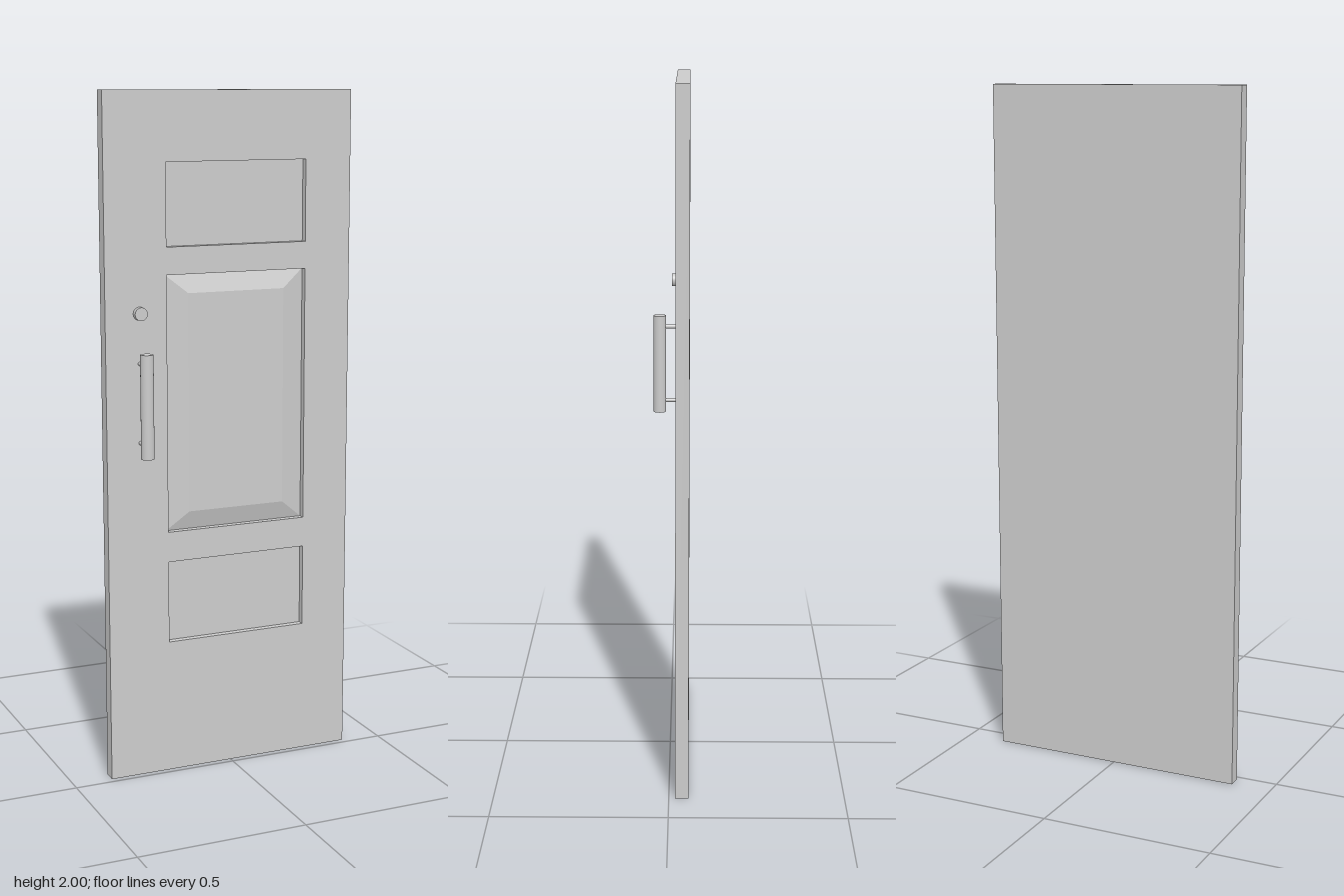
import * as THREE from 'three';

const W = 0.766, H = 2, FRONT = -0.018, BACK = -0.056, DEPTH = 0.02;
const PX0 = -0.197, PX1 = 0.239;
const PANELS = [
  { name: 'upperPanel', y0: 1.565, y1: 1.802 },
  { name: 'middlePanel', y0: 0.735, y1: 1.486, raised: true },
  { name: 'lowerPanel', y0: 0.4, y1: 0.645 },
];

// Box without its +z face; inverted it becomes a recess seen from inside
function openBox(w, h, d, inverted = false) {
  const g = new THREE.BoxGeometry(w, h, d);
  const index = Array.from(g.index.array);
  index.splice(24, 6);
  if (inverted) {
    index.reverse();
    const n = g.attributes.normal;
    for (let i = 0; i < n.count; i++) n.setXYZ(i, -n.getX(i), -n.getY(i), -n.getZ(i));
  }
  g.setIndex(index);
  g.clearGroups();
  return g;
}

// Block whose front face is drawn in to form sloping edges
function raisedField(w, h, d, insetX, insetY) {
  const g = new THREE.BoxGeometry(w, h, d);
  const p = g.attributes.position;
  for (let i = 0; i < p.count; i++) {
    if (p.getZ(i) > 0) {
      p.setX(i, p.getX(i) - Math.sign(p.getX(i)) * insetX);
      p.setY(i, p.getY(i) - Math.sign(p.getY(i)) * insetY);
    }
  }
  g.computeVertexNormals();
  return g;
}

export function createModel() {
  const group = new THREE.Group();
  const material = new THREE.MeshStandardMaterial({ color: 0xcccccc });
  const add = (name, geometry, x, y, z) => {
    const mesh = new THREE.Mesh(geometry, material);
    mesh.name = name;
    mesh.position.set(x, y, z);
    group.add(mesh);
    return mesh;
  };

  // Door leaf: sides and back, then a front face with panel openings
  add('doorLeaf', openBox(W, H, FRONT - BACK), 0, H / 2, (FRONT + BACK) / 2);
  const rect = (Type, x0, y0, x1, y1) => new Type([
    new THREE.Vector2(x0, y0), new THREE.Vector2(x1, y0),
    new THREE.Vector2(x1, y1), new THREE.Vector2(x0, y1),
  ]);
  const face = rect(THREE.Shape, -W / 2, 0, W / 2, H);
  for (const { y0, y1 } of PANELS) face.holes.push(rect(THREE.Path, PX0, y0, PX1, y1));
  add('doorFront', new THREE.ShapeGeometry(face), 0, 0, FRONT);

  // Recessed panels, the middle one with a raised field
  const pw = PX1 - PX0, px = (PX0 + PX1) / 2;
  for (const { name, y0, y1, raised } of PANELS) {
    const h = y1 - y0, y = (y0 + y1) / 2;
    add(name, openBox(pw, h, DEPTH, true), px, y, FRONT - DEPTH / 2);
    if (raised) {
      const d = 0.016;
      add('raisedField', raisedField(pw, h, d, 0.068, 0.055), px, y, FRONT - DEPTH + d / 2);
    }
  }

  // Lock cylinder
  const hx = -0.28;
  const along = (r, len) => new THREE.CylinderGeometry(r, r, len, 32).rotateX(Math.PI / 2);
  add('lock', along(0.019, 0.016), hx, 1.381, FRONT + 0.008);

  // Bar handle on two posts
  const barZ = 0.036;
  add('handleBar', new THREE.CylinderGeometry(0.019, 0.019, 0.3, 32), hx, 1.122, barZ);
  for (const y of [1.008, 1.238]) {
    add('handlePost', along(0.006, barZ - FRONT), hx, y, (barZ + FRONT) / 2);
  }
  return group;
}
